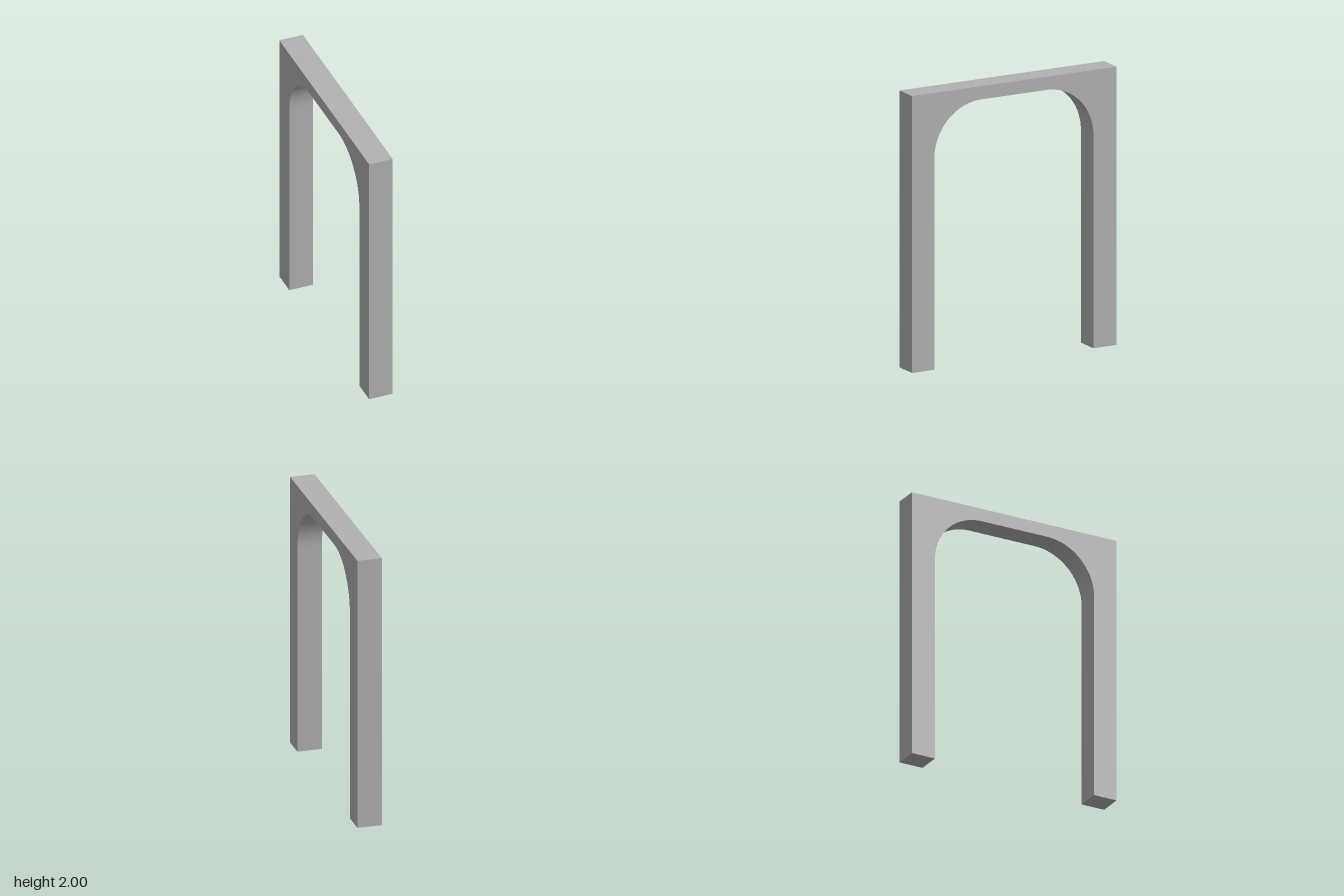
import * as THREE from 'three';

export function createModel() {
  const group = new THREE.Group();
  const grey = new THREE.MeshStandardMaterial({ color: 0xb2b2b2 });
  grey.name = 'grey';

  // Frame outline in the z-y plane: two legs, lintel and rounded inner corners
  const half = 0.816, front = 0.637, back = -0.632;
  const top = 2, under = 1.905, radius = 0.375;
  const outline = new THREE.Shape();
  outline.moveTo(-half, 0);
  outline.lineTo(back, 0);
  outline.lineTo(back, under - radius);
  outline.absarc(back + radius, under - radius, radius, Math.PI, Math.PI / 2, true);
  outline.lineTo(front - radius, under);
  outline.absarc(front - radius, under - radius, radius, Math.PI / 2, 0, true);
  outline.lineTo(front, 0.01); // the front leg ends slightly higher
  outline.lineTo(half, 0.01);
  outline.lineTo(half, top);
  outline.lineTo(-half, top);
  outline.closePath();

  // Extrude the thickness, then turn it to run along x
  const thickness = 0.177;
  const geometry = new THREE.ExtrudeGeometry(outline, {
    depth: thickness, bevelEnabled: false, curveSegments: 16,
  });
  geometry.translate(0, 0, -thickness / 2);
  geometry.rotateY(-Math.PI / 2);

  const frame = new THREE.Mesh(geometry, grey);
  frame.name = 'archFrame';
  group.add(frame);
  return group;
}
